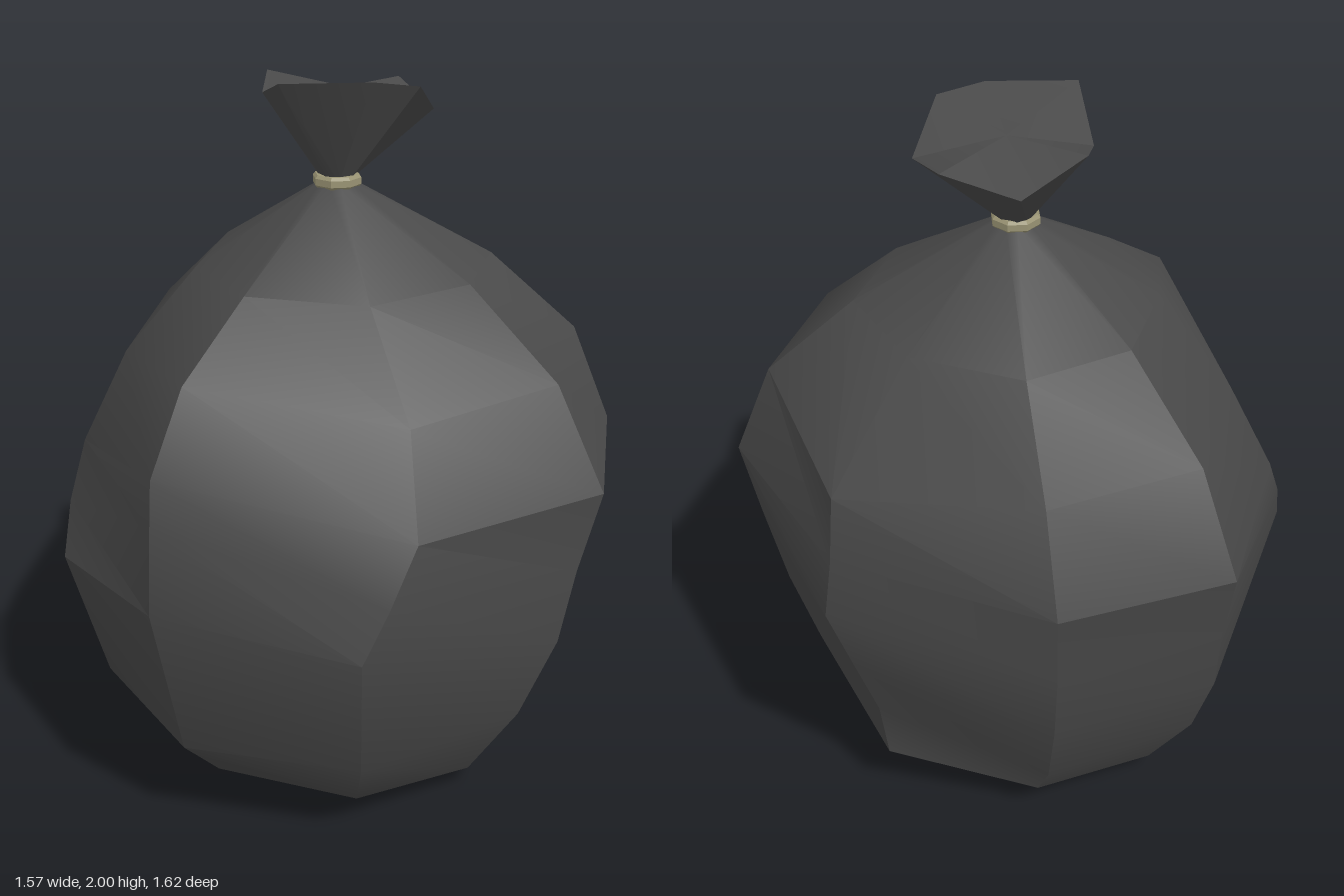
import * as THREE from 'three';
import { toCreasedNormals } from 'three/addons/utils/BufferGeometryUtils.js';

const SIDES = 8;

// Skin between 8-point rings listed from top to bottom, with optional end caps
function loft(rings, capTop, capBottom) {
  const pos = [];
  const tri = (...pts) => pts.forEach((p) => pos.push(...p));
  const centre = (ring) => [0, 1, 2].map((k) => ring.reduce((s, p) => s + p[k], 0) / SIDES);
  for (let c = 0; c < SIDES; c++) {
    const n = (c + 1) % SIDES;
    for (let r = 0; r < rings.length - 1; r++) {
      const a = rings[r], b = rings[r + 1];
      tri(a[c], b[c], b[n]);
      tri(a[c], b[n], a[n]);
    }
    const first = rings[0], last = rings[rings.length - 1];
    if (capTop) tri(centre(first), first[c], first[n]);
    if (capBottom) tri(centre(last), last[n], last[c]);
  }
  const geo = new THREE.BufferGeometry();
  geo.setAttribute('position', new THREE.Float32BufferAttribute(pos, 3));
  return toCreasedNormals(geo, 0.52);
}

// Regular ring, starting at the front and turning towards +x
function circle(x, y, radius) {
  return Array.from({ length: SIDES }, (_, i) => {
    const t = (i / SIDES) * Math.PI * 2;
    return [x + radius * Math.sin(t), y, radius * Math.cos(t)];
  });
}

// Vertical folds of the sack, top to bottom; front and back halves mirror
const front = [[0.05, 1.48, 0.41], [0.08, 1.25, 0.67], [0.1, 0.97, 0.81], [0.07, 0.74, 0.76],
  [0.04, 0.53, 0.73], [0, 0.29, 0.64], [-0.01, 0.06, 0.49]];
const leftDiagonal = [[0.33, 1.48, 0.3], [0.48, 1.26, 0.49], [0.54, 0.99, 0.58], [0.5, 0.75, 0.55],
  [0.46, 0.51, 0.51], [0.41, 0.28, 0.45], [0.34, 0.11, 0.355]];
const left = [[0.44, 1.48, 0], [0.73, 1.2, 0], [0.75, 1.01, 0], [0.78, 0.85, 0],
  [0.69, 0.61, 0], [0.61, 0.4, 0], [0.58, 0.21, 0]];
const rightDiagonal = [[-0.23, 1.47, 0.29], [-0.32, 1.21, 0.48], [-0.41, 0.95, 0.57], [-0.5, 0.8, 0.55],
  [-0.57, 0.66, 0.515], [-0.48, 0.28, 0.45], [-0.36, 0.09, 0.35]];
const right = [[-0.38, 1.48, 0], [-0.63, 1.31, 0], [-0.76, 1.1, 0], [-0.77, 0.97, 0],
  [-0.785, 0.73, 0], [-0.67, 0.28, 0], [-0.53, 0.14, 0]];

export function createModel() {
  const group = new THREE.Group();
  const plastic = new THREE.MeshStandardMaterial({ color: 0x4a4a4a });
  const cord = new THREE.MeshStandardMaterial({ color: 0x9a9474, flatShading: true });
  const add = (name, geometry, material) => {
    const mesh = new THREE.Mesh(geometry, material);
    mesh.name = name;
    group.add(mesh);
    return mesh;
  };

  // Full sack from neck to flat base
  const back = ([x, y, z]) => [x, y, -z];
  const rings = front.map((p, r) => [
    p, leftDiagonal[r], left[r], back(leftDiagonal[r]),
    back(p), back(rightDiagonal[r]), right[r], rightDiagonal[r],
  ]);
  add('sack', loft([circle(0.02, 1.705, 0.04), ...rings, circle(-0.08, 0, 0.25)], false, true), plastic);

  // Uneven gathered opening above the tie
  const rim = [[0.04, 1.98, 0.25], [0.21, 1.885, 0.18], [0.305, 1.935, 0], [0.21, 1.885, -0.18],
    [0.04, 1.965, -0.25], [-0.07, 1.93, -0.18], [-0.23, 2, 0], [-0.07, 2, 0.18]];
  add('gatheredTop', loft([rim, circle(0.02, 1.705, 0.04)], true, false), plastic);

  // Tie: eight-sided band with bevelled edges
  const profile = [[0.035, -0.017], [0.06, -0.017], [0.067, -0.009], [0.067, 0.009], [0.06, 0.017], [0.035, 0.017]]
    .map(([r, y]) => new THREE.Vector2(r, y));
  const tie = add('tie', new THREE.LatheGeometry(profile, SIDES), cord);
  tie.position.set(0.02, 1.705, 0);
  tie.rotation.y = Math.PI / SIDES;

  return group;
}
